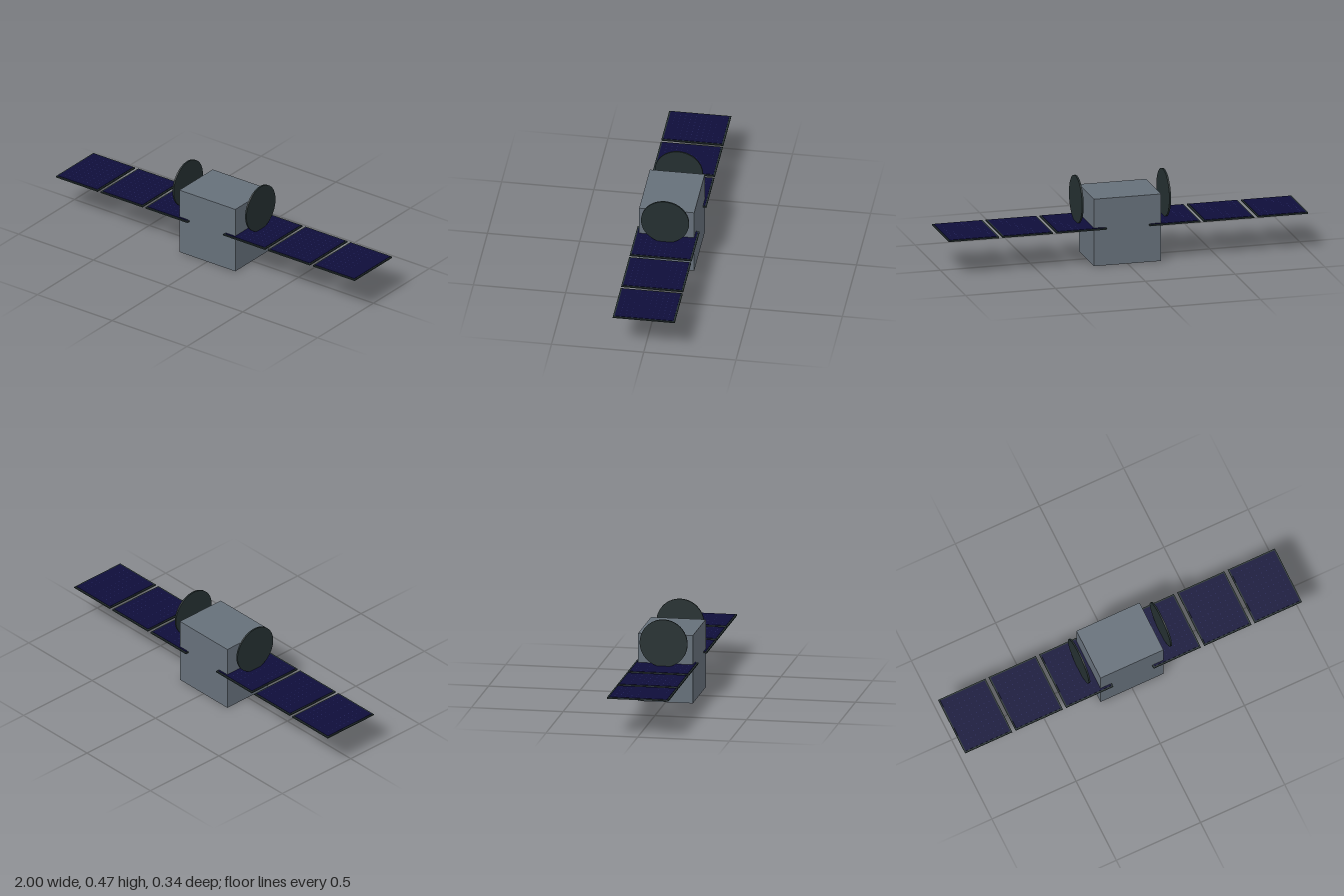
import * as THREE from 'three';

const mat = (name, color) => {
  const m = new THREE.MeshStandardMaterial({ color });
  m.name = name;
  return m;
};

export function createModel() {
  const hull = mat('hull grey', 0x66707a);
  const dark = mat('dark frame', 0x253031);
  const navy = mat('solar navy', 0x0e0d3a);
  const dotBlue = mat('cell contact blue', 0x2a2c68);

  const model = new THREE.Group();
  model.name = 'satellite';
  const add = (parent, name, geometry, material, x, y, z) => {
    const mesh = new THREE.Mesh(geometry, material);
    mesh.name = name;
    mesh.position.set(x, y, z);
    parent.add(mesh);
    return mesh;
  };

  // Main body
  add(model, 'body', new THREE.BoxGeometry(0.374, 0.374, 0.298), hull, 0, 0.187, 0);

  const frameGeo = new THREE.BoxGeometry(0.28, 0.007, 0.336);
  const cellGeo = new THREE.BoxGeometry(0.264, 0.004, 0.318);
  const discGeo = new THREE.CylinderGeometry(0.13, 0.13, 0.009, 64).rotateZ(Math.PI / 2);

  // Contact points between the solar cells
  const cols = 9, rows = 11;
  const dotGeo = new THREE.PlaneGeometry(0.0035, 0.0035).rotateX(-Math.PI / 2).rotateY(Math.PI / 4);

  for (const side of [-1, 1]) {
    const name = side > 0 ? 'left' : 'right';

    // Wing of three panels, the inner one running into the body
    const wing = new THREE.Group();
    wing.name = name + 'Wing';
    model.add(wing);
    for (let i = 0; i < 3; i++) {
      const panel = new THREE.Group();
      panel.name = 'solarPanel' + (i + 1);
      panel.position.set(side * (0.26 + 0.3 * i), 0.2075, 0);
      wing.add(panel);
      add(panel, 'panelFrame', frameGeo, dark, 0, 0, 0);
      add(panel, 'solarCells', cellGeo, navy, 0, 0.0035, 0);
      const dots = new THREE.Group();
      dots.name = 'cellContacts';
      panel.add(dots);
      for (let c = 1; c < cols; c++)
        for (let r = 1; r < rows; r++)
          add(dots, 'cellContact', dotGeo, dotBlue,
            (c / cols - 0.5) * 0.264, 0.0059, (r / rows - 0.5) * 0.318);
    }

    // Upright round antenna disc beside the body
    add(model, name + 'AntennaDisc', discGeo, dark, side * 0.243, 0.338, 0);
  }
  return model;
}
